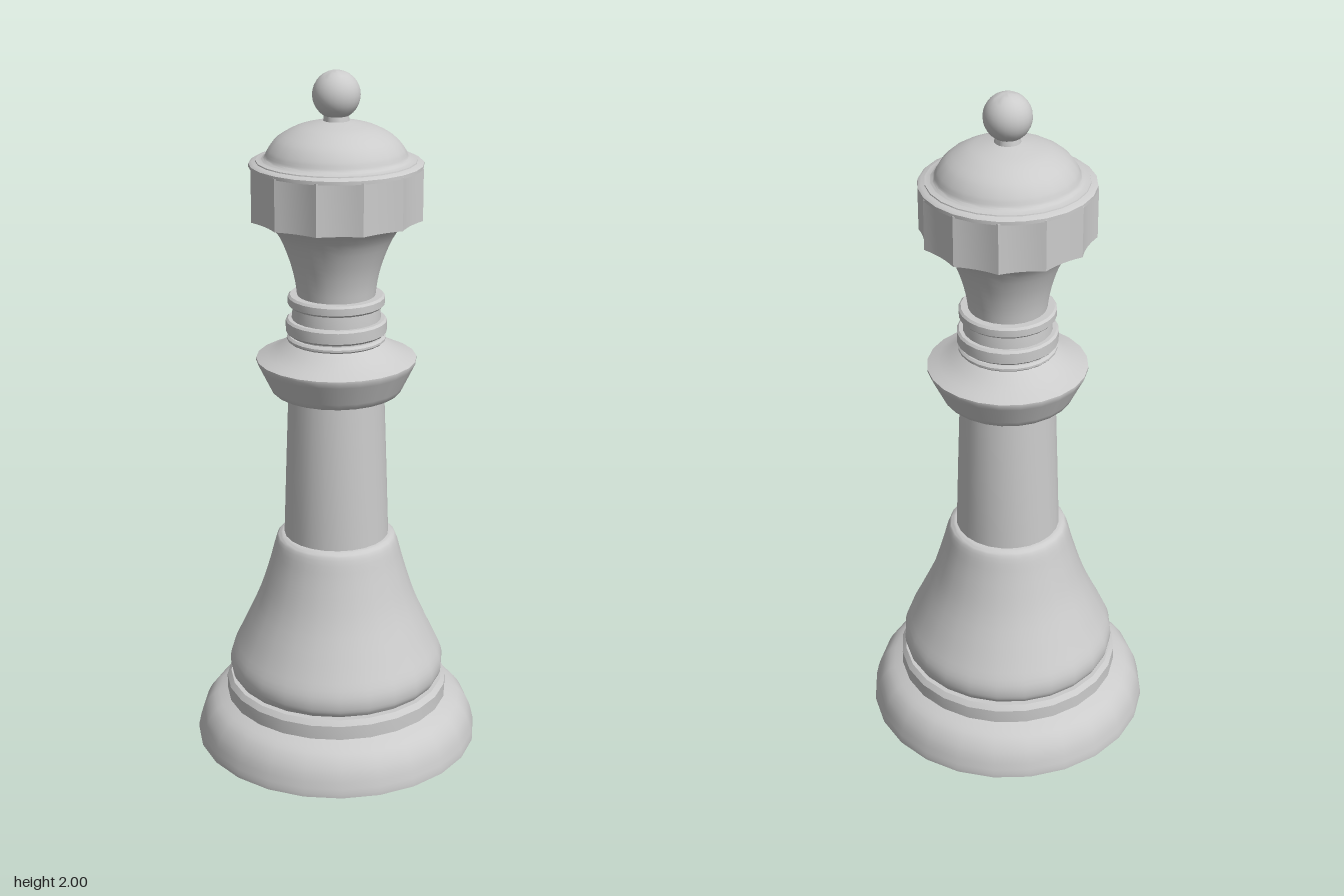
import * as THREE from 'three';
import { toCreasedNormals } from 'three/addons/utils/BufferGeometryUtils.js';

const SEGMENTS = 24;
const material = new THREE.MeshStandardMaterial({ color: 0xcccccc });

export function createModel() {
  const group = new THREE.Group();

  const add = (name, geometry) => {
    const mesh = new THREE.Mesh(toCreasedNormals(geometry, 0.6), material);
    mesh.name = name;
    group.add(mesh);
    return mesh;
  };
  const points = (list) => list.map(([r, y]) => new THREE.Vector2(r, y));
  // Smooth run of profile points through a few guides
  const curve = (list, n = 12) =>
    new THREE.SplineCurve(points(list)).getPoints(n).map((p) => [Math.max(p.x, 0), p.y]);
  const turn = (name, profile) => add(name, new THREE.LatheGeometry(points(profile), SEGMENTS));

  // Foot: rounded skirt, then an upright band
  turn('foot', [
    [0, 0], [0.42, 0],
    ...curve([[0.42, 0.012], [0.405, 0.07], [0.375, 0.113], [0.33, 0.138]], 10),
    [0.33, 0.18], [0.318, 0.195], [0, 0.195],
  ]);

  // Bell-shaped lower body
  turn('bell', [
    [0, 0.195], [0.295, 0.195],
    ...curve([[0.308, 0.2], [0.318, 0.222], [0.315, 0.265], [0.283, 0.335], [0.232, 0.45],
      [0.197, 0.56], [0.178, 0.63], [0.165, 0.648], [0.148, 0.652]], 28),
    [0, 0.652],
  ]);

  // Tapered column
  turn('column', [[0.153, 0.64], [0.146, 0.85], [0.137, 1.1]]);

  // Wide collar with a sloping top
  turn('collar', [
    [0, 1.092], [0.18, 1.092],
    ...curve([[0.186, 1.097], [0.207, 1.14], [0.228, 1.183]], 5),
    ...curve([[0.228, 1.19], [0.18, 1.212], [0.135, 1.242]], 6),
    [0, 1.242],
  ]);

  // Stacked neck rings
  const rings = [[0.14, 1.24, 1.258], [0.143, 1.264, 1.307], [0.137, 1.344, 1.376]];
  rings.forEach(([r, low, high], i) => {
    const b = 0.006;
    turn('neckRing' + (i + 1), [
      [0, low], [r - b, low], [r, low + b], [r, high - b], [r - b, high], [0, high],
    ]);
  });
  turn('neckCore', [[0.128, 1.24], [0.126, 1.31], [0.122, 1.35]]);

  // Flared neck below the crown
  turn('flare', curve([[0.11, 1.37], [0.117, 1.42], [0.133, 1.48], [0.163, 1.55], [0.205, 1.6]], 14));

  // Crown band with twelve shallow flutes
  const flutes = 12, cusp = 0.243, valley = 0.221;
  const outline = new THREE.Shape();
  const at = (r, a) => [r * Math.cos(a), r * Math.sin(a)];
  const step = (Math.PI * 2) / flutes;
  outline.moveTo(...at(cusp, -step / 2));
  for (let i = 0; i < flutes; i++) {
    outline.quadraticCurveTo(...at(valley, i * step), ...at(cusp, (i + 0.5) * step));
  }
  const band = new THREE.ExtrudeGeometry(outline, { depth: 0.145, bevelEnabled: false, curveSegments: 6 });
  band.rotateX(-Math.PI / 2).translate(0, 1.597, 0);
  add('crownBand', band);
  turn('crownLip', [[0, 1.738], [0.241, 1.738], [0.241, 1.748], [0.232, 1.754], [0, 1.754]]);

  // Domed cap with a small flange
  turn('dome', [
    [0.224, 1.75], [0.222, 1.757],
    ...curve([[0.208, 1.759], [0.198, 1.766], [0.188, 1.787], [0.162, 1.817], [0.115, 1.844],
      [0.07, 1.857], [0.036, 1.864]], 18),
    [0.032, 1.89],
  ]);

  // Ball finial
  add('finial', new THREE.SphereGeometry(0.066, SEGMENTS, 16)).position.y = 1.934;

  return group;
}
